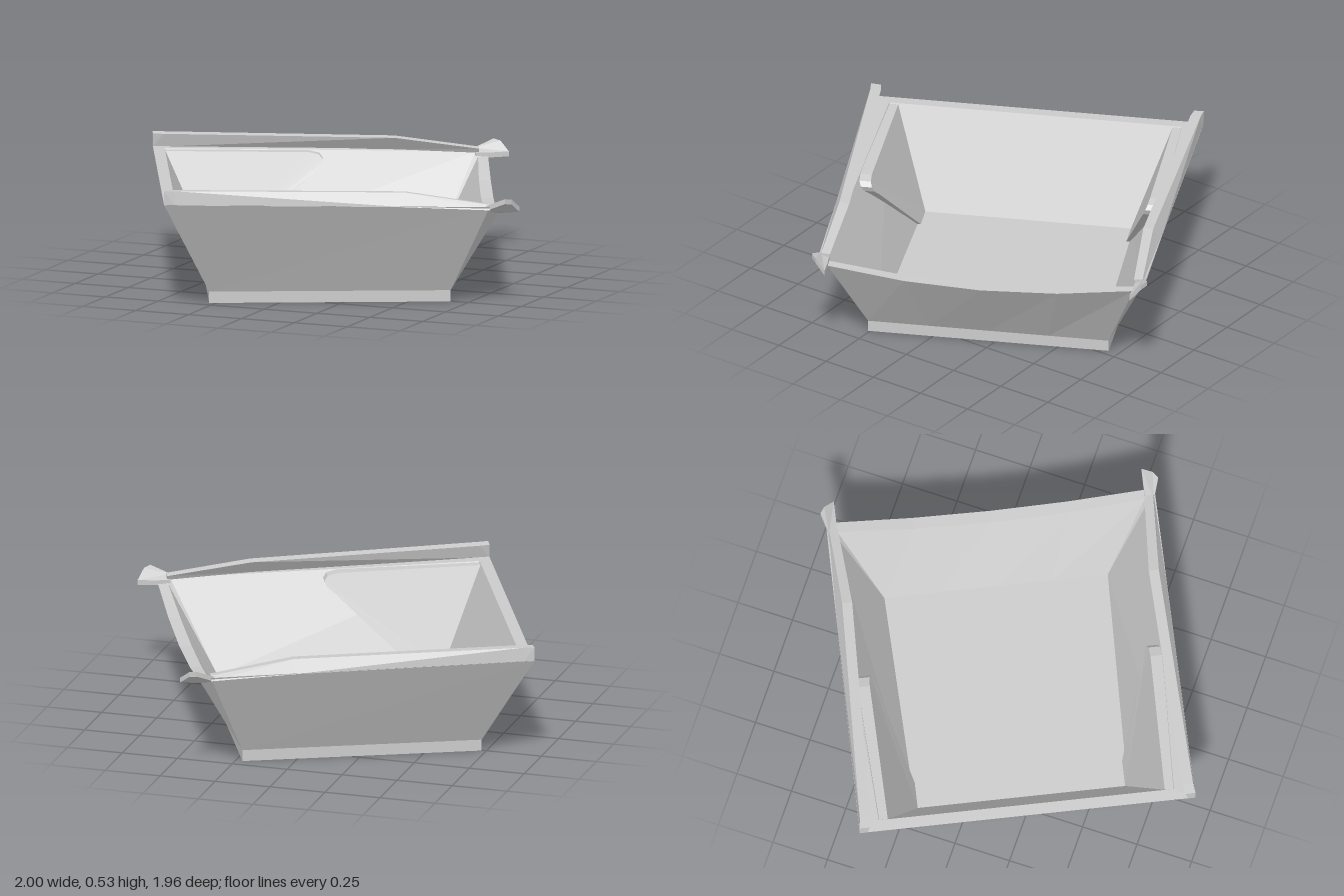
import * as THREE from 'three';

const material = new THREE.MeshStandardMaterial({ color: 0xcccccc, flatShading: true, side: THREE.DoubleSide });

// Closed flat-shaded solid from matching rings of [x, y, z], capped at both ends, faced outwards.
function skin(name, rings) {
  const tris = [];
  const n = rings[0].length;
  for (let r = 0; r + 1 < rings.length; r++) {
    const lo = rings[r], up = rings[r + 1];
    for (let i = 0; i < n; i++) {
      const j = (i + 1) % n;
      tris.push([lo[j], lo[i], up[i]], [lo[j], up[i], up[j]]);
    }
  }
  const first = rings[0], last = rings[rings.length - 1];
  for (let i = 1; i + 1 < n; i++) {
    tris.push([first[0], first[i], first[i + 1]], [last[0], last[i + 1], last[i]]);
  }
  const vec = (p) => new THREE.Vector3(...p);
  const volume = tris.reduce((v, [a, b, c]) => v + vec(a).dot(vec(b).cross(vec(c))), 0);
  if (volume < 0) tris.forEach((t) => t.reverse());
  const geometry = new THREE.BufferGeometry();
  geometry.setAttribute('position', new THREE.Float32BufferAttribute(tris.flat(2), 3));
  geometry.computeVertexNormals();
  const mesh = new THREE.Mesh(geometry, material);
  mesh.name = name;
  return mesh;
}

// One level of the tray: back corner, side corner, five points along the front, and mirrored back.
function level(back, side, front) {
  const right = [back, side].map(([x, y, z]) => [x, y, -z]);
  const edge = [-1, -0.5, 0, 0.5, 1].map((s) => {
    const [x, y, z, sag = 0, bow = 0] = front;
    return [x + bow * (1 - s * s), y - sag * (1 - s * s), z * s];
  });
  return [...right, ...edge, side, back];
}

function tray() {
  const base = (y) => level([-0.553, y, 0.53], [0.496, y, 0.53], [0.496, y, 0.53]);
  return skin('tray', [
    base(0),
    base(0.05),
    level([-0.756, 0.47, 0.734], [0.66, 0.45, 0.718], [0.7, 0.42, 0.675, 0.06]),
    level([-0.706, 0.47, 0.645], [0.645, 0.44, 0.69], [0.656, 0.42, 0.672, 0.06, -0.01]),
    level([-0.517, 0.05, 0.464], [0.463, 0.05, 0.488], [0.463, 0.05, 0.488]),
  ]);
}

// Raised lip along the outer edge of a side, falling away to the front.
function sideLip(s) {
  const section = (x, yLow, yTop, zOut, zTop, zIn, zFoot) =>
    [[x, yLow, s * zOut], [x, yTop, s * zTop], [x, yTop - 0.003, s * zIn], [x, yLow, s * zFoot]];
  return skin('sideLip', [
    section(-0.756, 0.468, 0.53, 0.734, 0.734, 0.69, 0.7),
    section(-0.71, 0.468, 0.53, 0.733, 0.728, 0.682, 0.698),
    section(0.293, 0.452, 0.512, 0.722, 0.692, 0.648, 0.685),
    section(0.66, 0.435, 0.458, 0.718, 0.708, 0.67, 0.68),
  ]);
}

// Thin tilted ear sticking out of each front corner.
function cornerEar(s) {
  const outline = [[0.64, 0.452, 0.71], [0.725, 0.488, 0.738], [0.755, 0.482, 0.718],
    [0.79, 0.442, 0.672], [0.7, 0.437, 0.672], [0.645, 0.437, 0.675]];
  const ring = (drop) => outline.map(([x, y, z]) => [x, y - drop, s * z]);
  return skin('cornerEar', [ring(0.022), ring(0)]);
}

// Raised wedge panel with a rounded tip, on the inside of a side wall.
function wallPanel(s) {
  const outline = [[-0.517, 0], [-0.4, 0], [-0.07, 0.76], [-0.03, 0.84], [-0.02, 0.9],
    [-0.035, 0.95], [-0.08, 0.975], [-0.706, 1]];
  const ring = (depth) => outline.map(([x, t]) =>
    [x, 0.05 + 0.415 * t, s * (0.453 + 0.152 * t + 0.02 * t * (x + 0.7) + depth)]);
  return skin('wallPanel', [ring(0.05), ring(0)]);
}

export function createModel() {
  const model = new THREE.Group();
  model.name = 'openTray';
  const body = new THREE.Group();
  body.name = 'trayBody';
  body.add(tray());
  for (const s of [-1, 1]) body.add(sideLip(s), cornerEar(s), wallPanel(s));
  // The whole tray stands turned about the upright axis
  body.rotation.y = 0.44;
  body.position.set(-0.004, 0, -0.01);
  model.add(body);
  return model;
}
